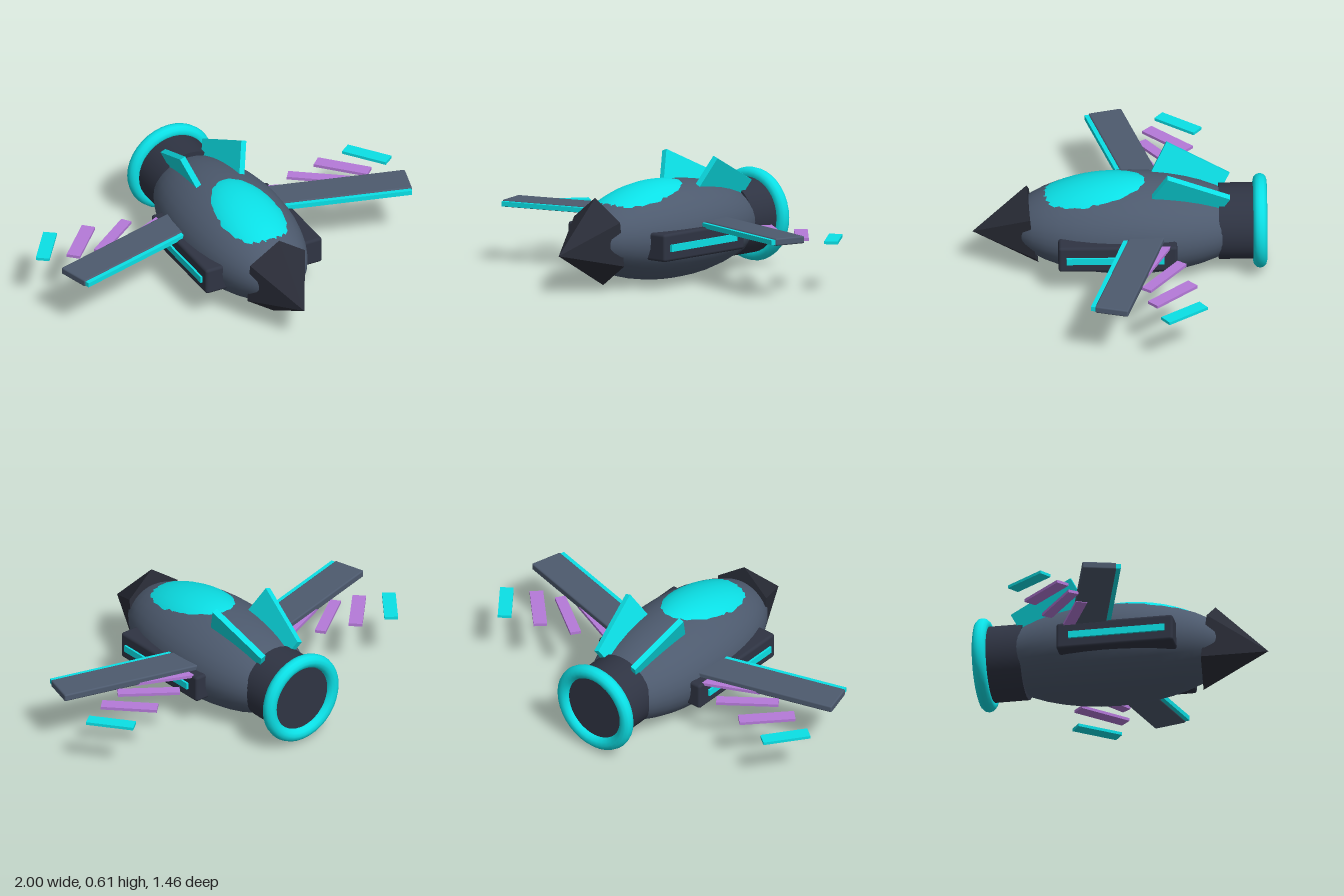
import * as THREE from 'three';
import { RoundedBoxGeometry } from 'three/addons/geometries/RoundedBoxGeometry.js';

const mat = (color, flatShading = false) => new THREE.MeshStandardMaterial({ color, flatShading });
const hull = mat(0x4d5a6e), dark = mat(0x2f3443), darkFlat = mat(0x2a2d38, true);
const cyan = mat(0x0be0e6), violet = mat(0xb57ad9);

export function createModel() {
  const model = new THREE.Group();
  model.name = 'spacecraft';

  const add = (name, geometry, material, position, rotation = [0, 0, 0], parent = model) => {
    const mesh = new THREE.Mesh(geometry, material);
    mesh.name = name;
    mesh.position.set(...position);
    mesh.rotation.set(...rotation);
    parent.add(mesh);
    return mesh;
  };
  const ellipsoid = (x, y, z) => new THREE.SphereGeometry(1, 32, 20).rotateX(Math.PI / 2).scale(x, y, z);
  const box = (x, y, z) => new THREE.BoxGeometry(x, y, z);

  // Fuselage and canopy
  add('fuselage', ellipsoid(0.295, 0.245, 0.6), hull, [0, 0.25, -0.05]);
  add('canopy', ellipsoid(0.2, 0.13, 0.36), cyan, [0, 0.36, 0.15], [0.2, 0, 0]);

  // Six-sided beak, narrowed in width and tipped down
  const beak = new THREE.ConeGeometry(0.225, 0.3, 6).rotateX(Math.PI / 2).scale(0.795, 1, 1);
  add('noseCone', beak, darkFlat, [0, 0.222, 0.583], [0.134, 0, 0]);

  // Engine with glowing ring
  const engine = new THREE.CylinderGeometry(0.19, 0.19, 0.21, 32).rotateX(Math.PI / 2);
  add('engine', engine, dark, [0, 0.25, -0.595]);
  add('engineRing', new THREE.TorusGeometry(0.2, 0.035, 12, 36), cyan, [0, 0.25, -0.695]);

  // Feathers behind each wing: x, y, z, length, width, sweep, material
  const feathers = [
    [0.42, 0.287, -0.17, 0.34, 0.055, 0.42, violet],
    [0.578, 0.28, -0.21, 0.31, 0.055, 0.63, violet],
    [0.735, 0.273, -0.25, 0.28, 0.068, 0.81, violet],
    [0.9, 0.264, -0.305, 0.24, 0.068, 0.93, cyan],
  ];

  for (const s of [1, -1]) {
    const side = new THREE.Group();
    side.name = s > 0 ? 'leftSide' : 'rightSide';
    model.add(side);

    // Side pod with light strip
    add('sidePod', new RoundedBoxGeometry(0.13, 0.14, 0.59, 2, 0.015), dark, [0.262 * s, 0.225, 0.015], [0, 0, 0], side);
    add('podStrip', box(0.03, 0.035, 0.485), cyan, [0.323 * s, 0.223, 0.027], [0, 0, 0], side);

    // Forward-swept wing, with its edge strip in the wing's own frame
    const wing = new THREE.Group();
    wing.name = 'wing';
    wing.position.set(0.942 * s, 0.301, 0.058);
    wing.rotation.y = -0.27 * s;
    side.add(wing);
    add('wingPanel', new RoundedBoxGeometry(0.8, 0.037, 0.17, 2, 0.008), hull, [-0.4 * s, 0, 0], [0, 0, 0], wing);
    add('wingStrip', box(0.74, 0.024, 0.03), cyan, [-0.375 * s, 0, 0.092], [0, 0, 0], wing);

    for (const [x, y, z, length, width, sweep, material] of feathers) {
      add('wingFeather', box(length, 0.015, width), material, [x * s, y, z], [0, -sweep * s, 0], side);
    }

    // Tail fin, pitched and then leaned outward
    add('tailFin', box(0.03, 0.22, 0.35), cyan, [0.111 * s, 0.44, -0.34], [-0.47, 0, -0.35 * s, 'ZXY'], side);
  }
  return model;
}
